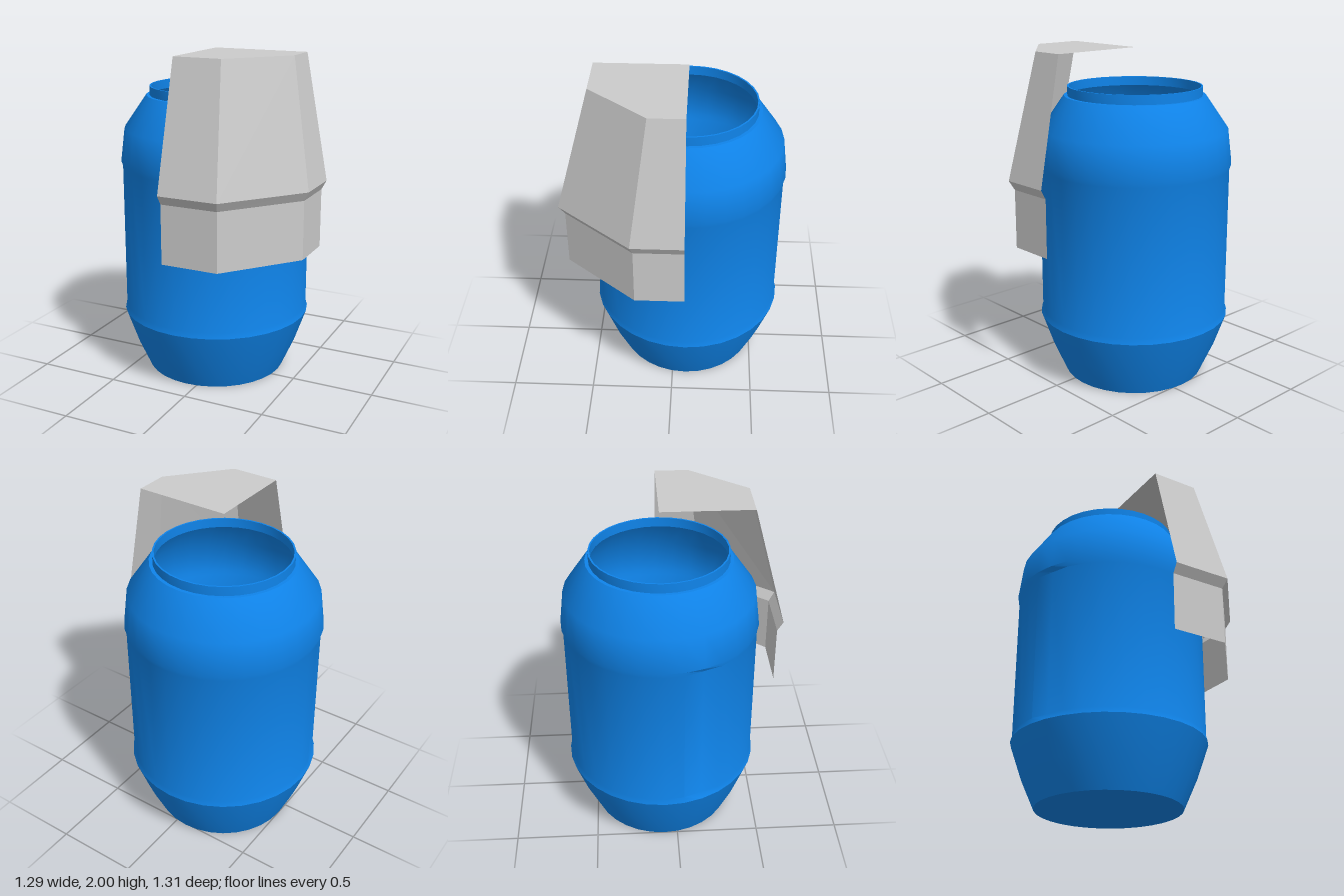
import * as THREE from 'three';
import { toCreasedNormals } from 'three/addons/utils/BufferGeometryUtils.js';

const SEGMENTS = 32;
const blue = new THREE.MeshStandardMaterial({ color: 0x0f84ea, side: THREE.DoubleSide });
const grey = new THREE.MeshStandardMaterial({ color: 0xcccccc, side: THREE.DoubleSide, flatShading: true });

function addMesh(group, name, geometry, material) {
  const mesh = new THREE.Mesh(geometry, material);
  mesh.name = name;
  group.add(mesh);
  return mesh;
}

// Surface of revolution from [radius, height] pairs, smooth except at sharp edges
function turned(profile, reshape) {
  const geometry = new THREE.LatheGeometry(profile.map(([r, y]) => new THREE.Vector2(r, y)), SEGMENTS);
  if (reshape) reshape(geometry.attributes.position);
  return toCreasedNormals(geometry, 0.6);
}

// Flatten two neighbouring wall segments into one flat side panel
function flattenPanel(position) {
  const angle = Math.PI / 8;
  const dx = -Math.cos(angle), dz = Math.sin(angle);
  const inset = Math.cos(Math.PI / 16);
  for (let i = 0; i < position.count; i++) {
    const x = position.getX(i), y = position.getY(i), z = position.getZ(i);
    const onLine = (x * dx + z * dz) / Math.hypot(x, z) > 0.999;
    if (onLine && y > 0.41 && y < 1.31) position.setXYZ(i, x * inset, y, z * inset);
  }
}

function createBarrel() {
  const barrel = new THREE.Group();
  barrel.name = 'barrel';
  barrel.position.set(-0.07, 0, -0.08);

  addMesh(barrel, 'barrelWall', turned([
    [0.43, 0], [0.51, 0.18], [0.58, 0.38], [0.57, 0.415],
    [0.57, 1.3], [0.58, 1.33], [0.555, 1.53], [0.42, 1.725],
  ], flattenPanel), blue);

  // Short neck with a thin open rim
  addMesh(barrel, 'barrelNeck', turned([
    [0.42, 1.725], [0.4, 1.725], [0.4, 1.78], [0.39, 1.78], [0.39, 1.725],
  ]), blue);

  const base = addMesh(barrel, 'barrelBase', new THREE.CircleGeometry(0.43, SEGMENTS), blue);
  base.rotation.x = Math.PI / 2;
  return barrel;
}

// Faceted corner hood: a top face and folded walls, open behind and below
function createHood() {
  const backX = -0.07, backZ = -0.08;
  // height, outer x, outer z, then the chamfer's end on each side
  const rings = [
    [0.86, 0.615, 0.62, 0.275, 0.205],
    [1.21, 0.615, 0.62, 0.275, 0.205],
    [1.265, 0.645, 0.655, 0.29, 0.22],
    [2.0, 0.505, 0.455, 0.22, 0.12],
  ].map(([y, x, z, cx, cz]) => [[backX, y, z], [cx, y, z], [x, y, cz], [x, y, backZ]]);

  const points = [];
  for (let r = 0; r < rings.length - 1; r++) {
    for (let i = 0; i < 3; i++) {
      const a = rings[r][i], b = rings[r][i + 1];
      const c = rings[r + 1][i + 1], d = rings[r + 1][i];
      points.push(...a, ...b, ...c, ...a, ...c, ...d);
    }
  }
  const top = rings[3];
  for (let i = 0; i < 3; i++) points.push(backX, 2, backZ, ...top[i], ...top[i + 1]);

  const geometry = new THREE.BufferGeometry();
  geometry.setAttribute('position', new THREE.Float32BufferAttribute(points, 3));
  geometry.computeVertexNormals();
  return geometry;
}

export function createModel() {
  const model = new THREE.Group();
  model.name = 'barrelWithHood';
  model.add(createBarrel());
  addMesh(model, 'cornerHood', createHood(), grey);
  return model;
}
